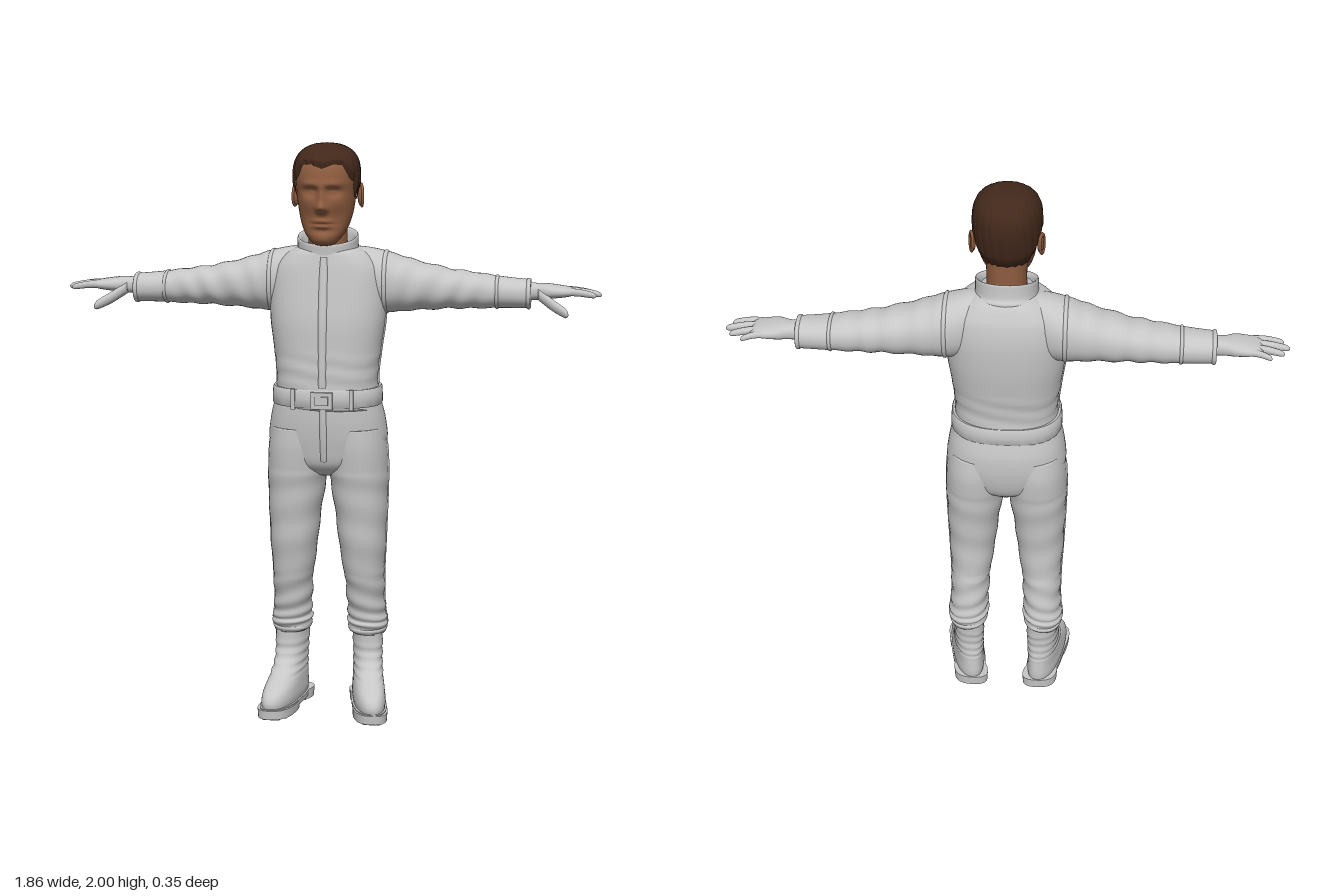
import * as THREE from 'three';
import { toCreasedNormals } from 'three/addons/utils/BufferGeometryUtils.js';

const PI = Math.PI;
const suit = new THREE.MeshStandardMaterial({ color: 0xc6c6c6 }); suit.name = 'suit grey';
const skin = new THREE.MeshStandardMaterial({ color: 0x8f5d40 }); skin.name = 'skin';
const hairMat = new THREE.MeshStandardMaterial({ color: 0x42281b }); hairMat.name = 'hair brown';

// Rows are cross-sections: [station, aMin, aMax, bMin, bMax] (a = x or y, b = z).
const sym = rows => rows.map(([s, w, b0, b1]) => [s, -w, w, b0, b1]);

// Smooth interpolation between cross-sections.
function sample(rows, u) {
  const n = rows.length - 1, i = Math.min(Math.floor(u), n - 1), f = u - i;
  const r = k => rows[Math.max(0, Math.min(n, k))];
  return rows[0].map((_, k) => {
    const [a, b, c, d] = [r(i - 1)[k], r(i)[k], r(i + 1)[k], r(i + 2)[k]];
    return b + 0.5 * f * (c - a + f * (2 * a - 5 * b + 4 * c - d + f * (3 * (b - c) + d - a)));
  });
}

// Row parameter at a given station.
function uAt(rows, s) {
  let lo = 0, hi = rows.length - 1;
  for (let k = 0; k < 30; k++) {
    const m = (lo + hi) / 2;
    if (sample(rows, m)[0] < s) lo = m; else hi = m;
  }
  return lo;
}

// Point on the skin of a body; axis 'y' is upright, 'x' runs sideways.
function surf({ rows, axis = 'y', p = 2.2 }, u, th, off = 0, k = 1) {
  const [s, a0, a1, b0, b1] = sample(rows, u);
  const pw = v => Math.sign(v) * Math.abs(v) ** (2 / p);
  const A = pw(Math.sin(th)) * ((a1 - a0) / 2 + off) * k, B = pw(Math.cos(th)) * ((b1 - b0) / 2 + off) * k;
  const ca = (a0 + a1) / 2, cb = (b0 + b1) / 2;
  return axis === 'y' ? [ca + A, s, cb + B] : [s, ca - A, cb + B];
}

function grid(nu, nt, closed, fn) {
  const pos = [], idx = [], cols = closed ? nt : nt + 1;
  for (let i = 0; i <= nu; i++) for (let j = 0; j < cols; j++) pos.push(...fn(i, j / nt));
  for (let i = 0; i < nu; i++) for (let j = 0; j < nt; j++) {
    const a = i * cols + j, b = i * cols + (j + 1) % cols, c = a + cols, d = b + cols;
    idx.push(a, b, c, b, d, c);
  }
  const g = new THREE.BufferGeometry();
  g.setAttribute('position', new THREE.Float32BufferAttribute(pos, 3));
  g.setIndex(idx);
  g.computeVertexNormals();
  return g;
}

// Closed, capped body through its cross-sections.
function loft(body, { seg = 40, sub = 6, fold, warp, crease } = {}) {
  const n = (body.rows.length - 1) * sub;
  const g = grid(n + 2, seg, true, (i, t) => {
    const u = Math.max(0, Math.min(n, i - 1)) / sub, th = t * 2 * PI;
    const q = surf(body, u, th, fold ? fold(u, th) : 0, i === 0 || i === n + 2 ? 0 : 1);
    return warp ? warp(q) : q;
  });
  return crease ? toCreasedNormals(g, crease) : g;
}

// Raised seam lying on a body; full turns become rings.
function seam(body, s0, s1, t0, t1, h, across) {
  const ua = uAt(body.rows, s0), ub = uAt(body.rows, s1);
  const nu = across ? 6 : 40, nt = across ? 48 : 6;
  return grid(nu, nt, false, (i, t) => {
    const a = across ? i / nu : t;
    return surf(body, ua + (ub - ua) * i / nu, t0 + (t1 - t0) * t, h * Math.sqrt(Math.max(0, Math.sin(PI * a))) - 0.001);
  });
}

function mirrored(geo) {
  const g = geo.index ? geo.toNonIndexed() : geo.clone();
  g.scale(-1, 1, 1);
  for (const at of Object.values(g.attributes)) {
    const n = at.itemSize, v = at.array;
    for (let i = 0; i < at.count; i += 3) for (let k = 0; k < n; k++) {
      const a = i * n + k, b = (i + 2) * n + k;
      [v[a], v[b]] = [v[b], v[a]];
    }
  }
  return g;
}

export function createModel() {
  const model = new THREE.Group();
  model.name = 'standingMan';
  const add = (name, geo, mat = suit) => {
    const m = new THREE.Mesh(geo, mat);
    m.name = name;
    model.add(m);
  };
  const pair = (name, geo, mat) => { add('left' + name, geo, mat); add('right' + name, mirrored(geo), mat); };

  // Torso and pelvis
  const torso = { p: 2.4, rows: sym([[1.1, .18, -.152, .13], [1.2, .175, -.145, .132], [1.3, .185, -.156, .129], [1.4, .198, -.168, .125],
    [1.5, .2, -.172, .11], [1.57, .188, -.163, .098], [1.61, .16, -.148, .09], [1.64, .118, -.13, .08], [1.66, .07, -.1, .05]]) };
  add('jacket', loft(torso, { seg: 64, fold: (u, t) => (u < 2 ? .002 * Math.sin(u * 11 + 2 * Math.sin(t * 2)) : 0) }));
  const pelvis = { p: 2.3, rows: sym([[.86, .05, -.11, .05], [.9, .15, -.148, .1], [.97, .203, -.166, .118], [1.05, .2, -.168, .128], [1.12, .184, -.153, .13]]) };
  add('trouserSeat', loft(pelvis, { seg: 56 }));
  add('zipFlap', seam(torso, 1.18, 1.62, -.045, .045, .007));
  add('fly', seam(pelvis, .92, 1.11, -.03, .05, .006));
  pair('SideSeam', seam(torso, 1.18, 1.42, PI / 2 - .05, PI / 2 + .05, .005));

  // Belt and buckle
  const belt = { p: 2.4, rows: sym([[1.112, .185, -.15, .133], [1.116, .19, -.156, .139], [1.168, .188, -.154, .139], [1.172, .182, -.148, .133]]) };
  add('belt', loft(belt, { seg: 64, sub: 2, crease: .6 }));
  add('buckle', new THREE.BoxGeometry(.075, .058, .014).translate(0, 1.138, .141));
  add('bucklePlate', new THREE.BoxGeometry(.045, .03, .008).translate(0, 1.138, .149));
  pair('BeltLoop', new THREE.BoxGeometry(.014, .07, .01).translate(.1, 1.14, .13));

  // Stand-up collar, higher at the nape
  const collar = { p: 2.1, rows: sym([[1.605, .118, -.128, .088], [1.62, .115, -.126, .092], [1.632, .106, -.117, .087], [1.66, .104, -.113, .087],
    [1.682, .104, -.111, .088], [1.686, .099, -.106, .083], [1.672, .09, -.098, .074], [1.64, .085, -.09, .07]]) };
  add('collar', loft(collar, { sub: 3, warp: ([x, y, z]) => [x, y - .26 * (z + .01), z] }));

  // Sleeves with seams and cuffs
  const sleeve = { axis: 'x', rows: [[.06, 1.43, 1.65, -.115, .03], [.13, 1.42, 1.645, -.14, .045], [.2, 1.42, 1.63, -.157, .045], [.28, 1.427, 1.605, -.156, .033],
    [.4, 1.435, 1.575, -.154, .013], [.5, 1.437, 1.56, -.151, 0], [.6, 1.44, 1.546, -.147, -.01], [.69, 1.44, 1.538, -.138, -.018]] };
  pair('Sleeve', loft(sleeve, { sub: 10, fold: (u, t) => (u > 2 && u < 6 ? .0028 * Math.sin(u * 8 + t + 2 * Math.sin(t)) * Math.sin((u - 2) * PI / 4) : 0) }));
  pair('ShoulderSeam', seam(sleeve, .19, .205, 0, 2 * PI, .005, true));
  pair('CuffSeam', seam(sleeve, .57, .582, 0, 2 * PI, .005, true));
  pair('CuffEdge', seam(sleeve, .675, .69, 0, 2 * PI, .005, true));

  // Gloved hands
  const palm = { axis: 'x', p: 2.4, rows: [[.66, 1.467, 1.53, -.115, -.043], [.71, 1.469, 1.526, -.116, -.042], [.75, 1.474, 1.525, -.13, -.024],
    [.79, 1.478, 1.52, -.133, -.023], [.825, 1.484, 1.514, -.13, -.027], [.84, 1.493, 1.506, -.12, -.04]] };
  pair('Palm', loft(palm, { seg: 28 }));
  const digit = (a, b, r, sag) => ({ axis: 'x', rows: [[0, 1], [.45, .97], [.85, .82], [.96, .55], [1, .1]].map(([t, k]) => {
    const [x, y, z] = a.map((v, i) => v + (b[i] - v) * t), w = r * k, cy = y + sag * Math.sin(PI * t);
    return [x, cy - w, cy + w, z - w, z + w];
  }) });
  const fingers = [['Pinky', -.119, -.138, .87, .0115], ['RingFinger', -.094, -.108, .912, .013], ['MiddleFinger', -.067, -.073, .93, .0135], ['IndexFinger', -.04, -.037, .912, .013]];
  for (const [name, z0, z1, tip, r] of fingers) pair(name, loft(digit([.79, 1.499, z0], [tip, 1.489, z1], r, .006), { seg: 14, sub: 4 }));
  pair('Thumb', loft(digit([.715, 1.492, -.055], [.82, 1.43, .015], .021, -.004), { seg: 16, sub: 4 }));

  // Trouser legs, bunched above the boots
  const leg = { rows: [[.275, .075, .197, -.145, .005], [.31, .064, .206, -.15, .016], [.34, .066, .202, -.146, .018], [.4, .064, .197, -.14, .032], [.5, .055, .198, -.13, .055],
    [.6, .04, .203, -.126, .075], [.7, .029, .207, -.133, .086], [.8, .014, .21, -.146, .097], [.88, .003, .211, -.156, .107], [.96, 0, .207, -.162, .115], [1.03, 0, .195, -.155, .115]] };
  pair('TrouserLeg', loft(leg, { sub: 8, fold: (u, t) => (u < 4 ? .003 * Math.sin(u * 7 + 2 * Math.sin(t)) : u < 8 ? .0015 * Math.sin(u * 5 + t) : 0) }));
  pair('TrouserSeam', seam(leg, .3, .97, PI / 2 - .06, PI / 2 + .06, .004));
  pair('TrouserHem', seam(leg, .278, .295, 0, 2 * PI, .005, true));

  // Boots: the toes point slightly outwards
  const splay = ([x, y, z]) => [x + (z + .07) * .19, y, z];
  const boot = { p: 2.4, rows: [[.028, .08, .188, -.14, .17], [.06, .075, .192, -.143, .174], [.09, .077, .19, -.141, .155], [.12, .08, .188, -.138, .1],
    [.155, .083, .186, -.135, .042], [.2, .083, .187, -.133, .01], [.25, .082, .188, -.138, .003], [.3, .082, .188, -.14, .003]] };
  pair('Boot', loft(boot, { warp: splay, fold: (u, t) => (u > 3 && u < 6 ? .002 * Math.sin(u * 9 + Math.cos(t)) : 0) }));
  const sole = (y0, y1, z0, z1) => loft({ p: 2.6, rows: [[y0, .073, .193, z0, z1], [y1, .071, .195, z0 - .002, z1 + .002]] }, { sub: 1, warp: splay, crease: .6 });
  pair('Heel', sole(.006, .042, -.144, -.045));
  pair('ForeSole', sole(.006, .038, -.012, .178));
  pair('Shank', sole(.022, .042, -.14, .175));
  for (let i = 0; i < 10; i++) {
    const z = i < 3 ? -.12 + i * .025 : .02 + (i - 3) * .023, w = i === 9 ? .06 : .09;
    pair('Tread' + i, new THREE.BoxGeometry(w, .012, .012).translate(.133 + (z + .07) * .19, .006, z));
  }

  // Neck and head, face modelled by soft bumps [x, y, widthX, widthY, depth]
  const neck = { rows: sym([[1.6, .07, -.085, .058], [1.7, .066, -.082, .056], [1.8, .072, -.085, .04]]) };
  add('neck', loft(neck), skin);
  const head = { p: 2.2, rows: sym([[1.657, 0, .06, .08], [1.664, .035, .03, .115], [1.69, .06, -.005, .127], [1.72, .077, -.04, .128], [1.76, .089, -.075, .131],
    [1.8, .096, -.095, .136], [1.84, .1, -.105, .14], [1.88, .103, -.11, .144], [1.92, .1, -.108, .137], [1.95, .089, -.095, .119], [1.973, .066, -.066, .088], [1.986, .034, -.024, .05], [1.99, 0, .012, .012]]) };
  const bumps = [[0, 1.79, .012, .013, .032], [0, 1.825, .01, .025, .016], [.014, 1.785, .007, .008, .008], [.036, 1.866, .022, .009, .008], [.037, 1.842, .018, .011, -.014],
    [.037, 1.84, .01, .005, .006], [.055, 1.805, .018, .018, .005], [.045, 1.75, .012, .02, -.004], [0, 1.743, .022, .005, .009], [0, 1.726, .02, .005, .008], [0, 1.734, .026, .003, -.004],
    [0, 1.711, .025, .007, -.004], [0, 1.683, .022, .012, .006]];
  const face = ([x, y, z]) => {
    let d = 0;
    for (const [bx, by, sx, sy, h] of bumps) d += h * Math.exp(-(((Math.abs(x) - bx) / sx) ** 2 + ((y - by) / sy) ** 2) / 2);
    return [x, y, z + d * THREE.MathUtils.smoothstep(z, .02, .08)];
  };
  add('head', loft(head, { seg: 120, sub: 9, warp: face }), skin);

  // Ears
  const place = g => g.rotateX(-.15).rotateY(.3).translate(.109, 1.822, -.022);
  pair('Ear', place(new THREE.SphereGeometry(1, 18, 14).scale(.009, .036, .021)), skin);
  pair('EarRim', place(new THREE.TorusGeometry(.02, .005, 8, 24).rotateY(PI / 2).scale(1, 1.7, 1).translate(.005, 0, 0)), skin);

  // Hair shell down to a hairline that varies around the head: [angle, height]
  const line = [[0, 1.918], [.35, 1.932], [.7, 1.93], [.95, 1.885], [1.22, 1.87], [1.36, 1.815], [1.6, 1.83], [1.9, 1.805], [2.3, 1.765], [PI + .01, 1.745]];
  const hairline = a => {
    const i = line.findIndex(k => k[0] > a), [a0, y0] = line[i - 1], [a1, y1] = line[i];
    return y0 + (y1 - y0) * (a - a0) / (a1 - a0);
  };
  add('hair', grid(48, 144, true, (i, t) => {
    const th = t * 2 * PI, v = i / 48, u0 = uAt(head.rows, hairline(Math.min(th, 2 * PI - th)));
    const rise = Math.min(1, v * 7), strand = .0015 * Math.sin(th * 24 + v * 6) * (1 - v);
    const u = u0 + (head.rows.length - 1 - u0) * v;
    const [x, y, z] = surf(head, u, th, i === 48 ? 0 : (.001 + .01 * rise + strand) * Math.min(1, (1 - v) * 8));
    return [x, y + .01 * v, z];
  }), hairMat);

  return model;
}
